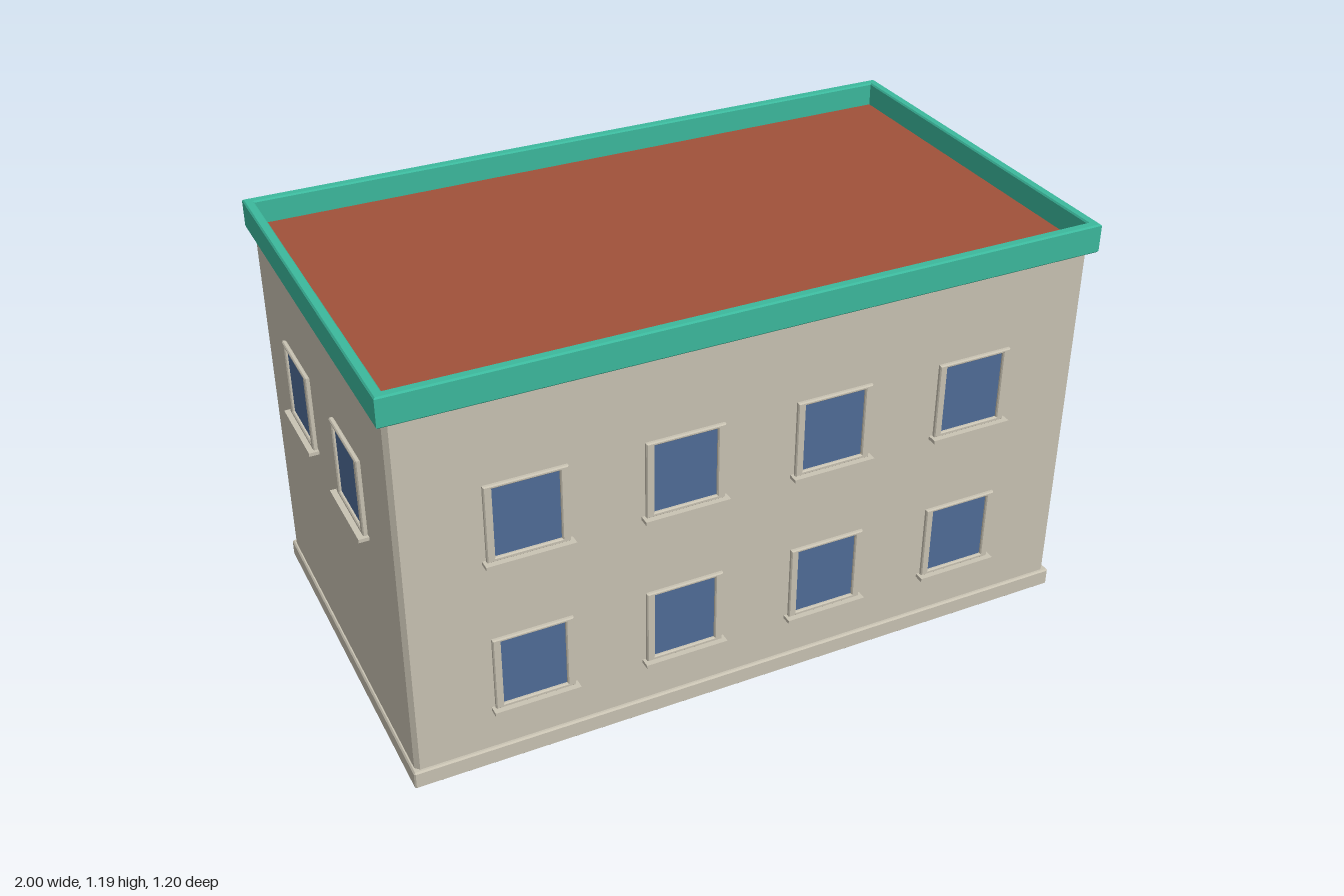
import * as THREE from 'three';
import { ConvexGeometry } from 'three/addons/geometries/ConvexGeometry.js';

const mat = (name, color) => Object.assign(new THREE.MeshStandardMaterial({ color }), { name });

export function createModel() {
  const plaster = mat('plaster', 0xc9c3b3);
  const green = mat('green trim', 0x3cb99d);
  const roofRed = mat('roof red', 0xa0523a);
  const panelRed = mat('panel red', 0xc66153);
  const panelBlue = mat('panel blue', 0x4070c0);
  const darkBlue = mat('slot blue', 0x3d5a8c);
  const glass = mat('glass', 0x4f6c98);
  const brown = mat('door brown', 0x77462f);

  const model = new THREE.Group();
  model.name = 'building';

  const add = (parent, name, geometry, material) => {
    const m = new THREE.Mesh(geometry, material);
    m.name = name;
    parent.add(m);
    return m;
  };

  // Plain box from min and max corners
  const box = (parent, name, material, x0, x1, y0, y1, z0, z1) => {
    const m = add(parent, name, new THREE.BoxGeometry(x1 - x0, y1 - y0, z1 - z0), material);
    m.position.set((x0 + x1) / 2, (y0 + y1) / 2, (z0 + z1) / 2);
    return m;
  };

  // Box with every edge chamfered by b
  const chamferBox = (parent, name, material, x0, x1, y0, y1, z0, z1, b) => {
    const half = [(x1 - x0) / 2, (y1 - y0) / 2, (z1 - z0) / 2];
    const points = [];
    for (const sx of [-1, 1]) for (const sy of [-1, 1]) for (const sz of [-1, 1]) {
      for (let face = 0; face < 3; face++) {
        const h = half.map((v, i) => (i === face ? v : v - b));
        points.push(new THREE.Vector3(sx * h[0], sy * h[1], sz * h[2]));
      }
    }
    const m = add(parent, name, new ConvexGeometry(points), material);
    m.position.set((x0 + x1) / 2, (y0 + y1) / 2, (z0 + z1) / 2);
    return m;
  };

  const rect = (Type, x0, x1, y0, y1) => new Type([
    [x0, y0], [x1, y0], [x1, y1], [x0, y1],
  ].map(([x, y]) => new THREE.Vector2(x, y)));

  // Rectangular ring with a small bevel, extruded along z
  const ring = (outer, inner, depth, b) => {
    const shape = rect(THREE.Shape, ...outer);
    shape.holes.push(rect(THREE.Path, ...inner));
    const g = new THREE.ExtrudeGeometry(shape, {
      depth: depth - 2 * b, bevelEnabled: true, bevelSegments: 1,
      bevelThickness: b, bevelSize: b, bevelOffset: -b,
    });
    return g.translate(0, 0, b);
  };

  // Walls, plinth and roof
  chamferBox(model, 'walls', plaster, -0.972, 0.972, 0.02, 1.115, -0.522, 0.572, 0.012);
  chamferBox(model, 'plinth', plaster, -0.98, 0.98, 0.012, 0.064, -0.532, 0.582, 0.004);
  const parapet = add(model, 'parapet',
    ring([-0.99, 0.99, -0.565, 0.565], [-0.963, 0.963, -0.538, 0.538], 0.082, 0.004), green);
  parapet.rotation.x = -Math.PI / 2;
  parapet.position.set(0, 1.108, 0.025);
  box(model, 'roof', roofRed, -0.964, 0.964, 1.112, 1.122, -0.514, 0.564);

  // Small window with plaster frame and sill, facing +z, origin at sill level on the wall
  const smallWindow = () => {
    const g = new THREE.Group();
    g.name = 'smallWindow';
    add(g, 'windowFrame', ring([-0.11, 0.11, 0.008, 0.23], [-0.088, 0.088, 0.02, 0.22], 0.013, 0.003), plaster);
    box(g, 'windowPane', glass, -0.09, 0.09, 0.015, 0.222, 0, 0.005);
    box(g, 'windowSill', plaster, -0.119, 0.119, 0, 0.01, -0.005, 0.028);
    return g;
  };

  for (const y of [0.185, 0.646]) {
    for (let i = 0; i < 4; i++) {
      const w = smallWindow();
      w.position.set(-0.64 + i * 0.425, y, 0.572);
      model.add(w);
    }
  }
  for (const side of [-1, 1]) {
    for (const z of [0.238, -0.188]) {
      const w = smallWindow();
      w.rotation.y = side * Math.PI / 2;
      w.position.set(side * 0.972, 0.646, z);
      model.add(w);
    }
  }

  // Large green-framed window with glazing bars, facing +z
  const largeWindow = () => {
    const g = new THREE.Group();
    g.name = 'largeWindow';
    add(g, 'largeFrame', ring([-0.15, 0.15, 0.01, 0.29], [-0.134, 0.134, 0.026, 0.274], 0.016, 0.003), green);
    box(g, 'largePane', glass, -0.14, 0.14, 0.02, 0.28, 0, 0.005);
    box(g, 'uprightBar', green, -0.007, 0.007, 0.02, 0.28, 0, 0.012);
    box(g, 'crossBar', green, -0.14, 0.14, 0.158, 0.172, 0, 0.012);
    box(g, 'largeSill', plaster, -0.159, 0.159, -0.004, 0.011, -0.005, 0.028);
    return g;
  };

  for (const [x, y] of [[0.427, 0.59], [0, 0.59], [-0.427, 0.59], [0.427, 0.12], [-0.427, 0.12]]) {
    const w = largeWindow();
    w.rotation.y = Math.PI;
    w.position.set(x, y, -0.522);
    model.add(w);
  }

  // Back entrance
  const entrance = new THREE.Group();
  entrance.name = 'entrance';
  model.add(entrance);
  for (const s of [-1, 1]) {
    box(entrance, 'doorJamb', plaster, s * 0.1225 - 0.0075, s * 0.1225 + 0.0075, 0, 0.325, -0.538, -0.515);
  }
  box(entrance, 'doorHead', plaster, -0.13, 0.13, 0.31, 0.325, -0.538, -0.515);
  box(entrance, 'doorLeaf', brown, -0.115, 0.115, 0.02, 0.31, -0.534, -0.515);
  const knob = add(entrance, 'doorKnob', new THREE.SphereGeometry(0.006, 12, 8), plaster);
  knob.position.set(0.09, 0.16, -0.538);
  box(entrance, 'doorstep', plaster, -0.16, 0.16, 0.013, 0.03, -0.6, -0.525);

  // Raised colour panels on the back, each with three small fittings
  chamferBox(model, 'redPanel', panelRed, 0.65, 0.96, 0.05, 1.07, -0.567, -0.515, 0.012);
  chamferBox(model, 'bluePanel', panelBlue, -0.96, -0.55, 0.05, 1.07, -0.567, -0.515, 0.012);
  for (const y of [0.255, 0.56, 0.865]) {
    chamferBox(model, 'squareFitting', plaster, 0.768, 0.835, y - 0.033, y + 0.033, -0.585, -0.56, 0.006);
    box(model, 'longFitting', darkBlue, -0.857, -0.66, y - 0.03, y + 0.03, -0.588, -0.56);
  }

  return model;
}
